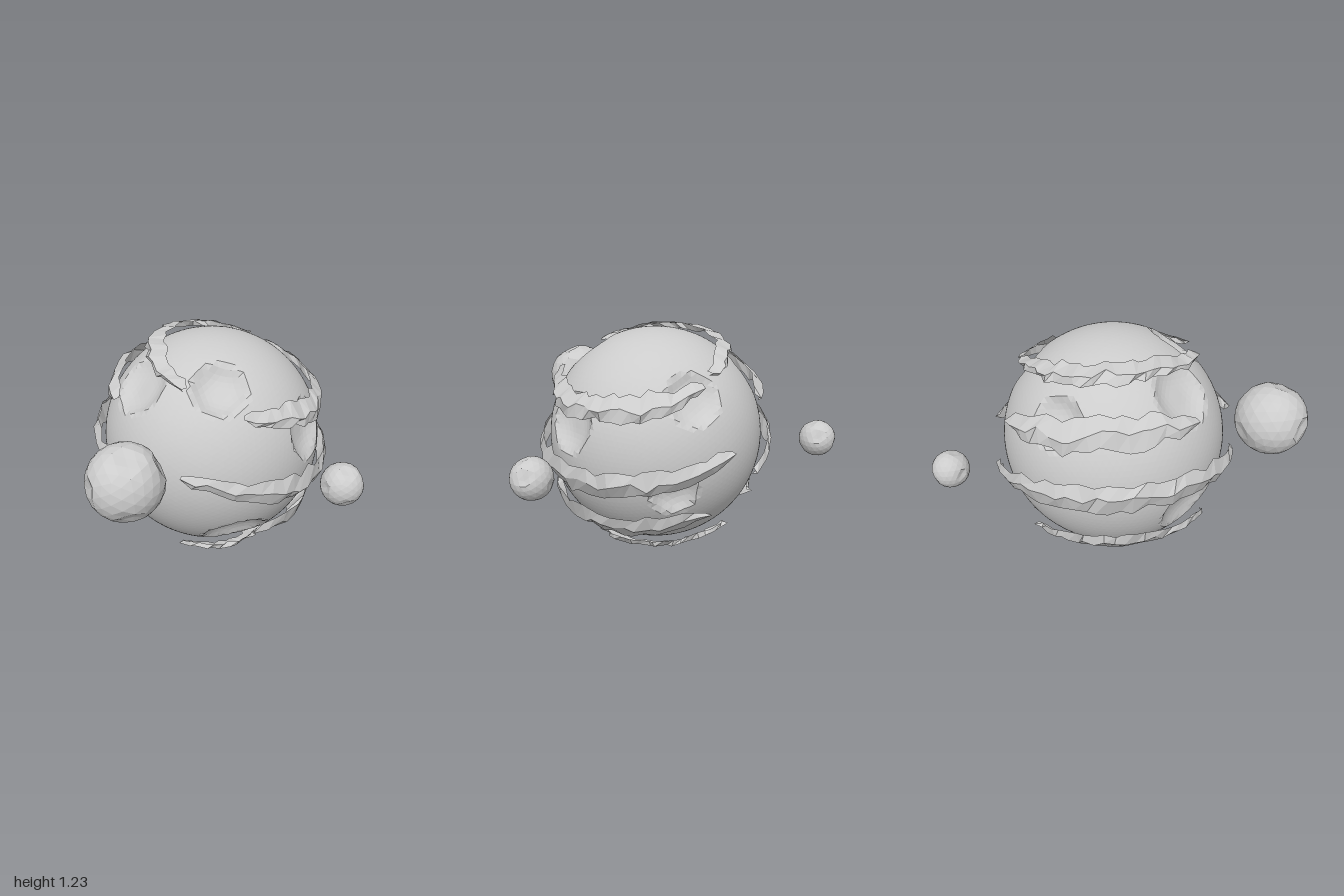
import * as THREE from 'three';

const grey = new THREE.MeshStandardMaterial({ color: 0xcccccc, flatShading: true });
const sheet = new THREE.MeshStandardMaterial({ color: 0xcccccc, flatShading: true, side: THREE.DoubleSide });

// Seeded random numbers, 0..1
function seeded(seed) {
  return () => {
    seed = (seed * 1664525 + 1013904223) % 4294967296;
    return seed / 4294967296;
  };
}

// Faceted ball with bowl craters; each crater is [x, y, z direction, radius, depth]
function crateredBall(name, radius, detail, craters) {
  const geo = new THREE.IcosahedronGeometry(radius, detail);
  const pos = geo.attributes.position;
  const centres = craters.map(([x, y, z]) => new THREE.Vector3(x, y, z).setLength(radius));
  const p = new THREE.Vector3();
  for (let i = 0; i < pos.count; i++) {
    p.fromBufferAttribute(pos, i);
    let dent = 0;
    craters.forEach(([, , , size, depth], k) => {
      const d = p.distanceTo(centres[k]) / size;
      if (d < 1) dent = Math.max(dent, depth * (1 - d * d * d));
    });
    p.setLength(radius - dent);
    pos.setXYZ(i, p.x, p.y, p.z);
  }
  geo.computeVertexNormals();
  const mesh = new THREE.Mesh(geo, grey);
  mesh.name = name;
  return mesh;
}

// Ragged sheet along a line of latitude: three points across, folded outwards
function cloudStrip(height, from, to, width, seed) {
  const rnd = seeded(seed);
  const steps = Math.round((to - from) / 6);
  const verts = [], index = [];
  for (let i = 0; i <= steps; i++) {
    const t = i / steps;
    const half = width * 0.5 * (0.25 + 0.85 * Math.pow(Math.sin(Math.PI * t), 0.6));
    const phi = THREE.MathUtils.degToRad(from + (to - from) * t);
    const drift = (rnd() - 0.5) * 0.025;
    for (let j = -1; j <= 1; j++) {
      const y = height + drift + (j ? j * half * (0.75 + 0.5 * rnd()) : (rnd() - 0.5) * half * 0.6);
      const r = (j ? 0.645 : 0.668) + rnd() * 0.015;
      const a = phi + (rnd() - 0.5) * 0.06;
      const ring = Math.sqrt(r * r - y * y);
      verts.push(ring * Math.cos(a), y, ring * Math.sin(a));
    }
    if (i < steps) {
      for (let j = 0; j < 2; j++) {
        const a = i * 3 + j;
        index.push(a, a + 1, a + 3, a + 1, a + 4, a + 3);
      }
    }
  }
  const geo = new THREE.BufferGeometry();
  geo.setAttribute('position', new THREE.Float32BufferAttribute(verts, 3));
  geo.setIndex(index);
  geo.computeVertexNormals();
  const mesh = new THREE.Mesh(geo, sheet);
  mesh.name = 'cloudStrip';
  return mesh;
}

export function createModel() {
  const model = new THREE.Group();
  model.name = 'planetWithMoons';
  const centre = new THREE.Vector3(-0.115, 0.645, -0.02);

  // Planet
  const planet = crateredBall('planet', 0.613, 22, [
    [0.13, 0.47, 0.36, 0.15, 0.07],
    [-0.3, 0.42, 0.3, 0.17, 0.06],
    [0.57, 0.17, 0.14, 0.17, 0.07],
    [-0.48, -0.16, 0.34, 0.19, 0.07],
    [0.22, -0.41, 0.4, 0.18, 0.07],
    [0.4, -0.15, -0.44, 0.13, 0.06],
    [0.25, 0.33, -0.44, 0.15, 0.06],
    [-0.36, 0.36, -0.34, 0.14, 0.06],
    [-0.12, -0.54, -0.23, 0.16, 0.06],
  ]);
  planet.position.copy(centre);
  model.add(planet);

  // Cloud strips around a tilted axis: height, start and end angle, width
  const clouds = new THREE.Group();
  clouds.name = 'clouds';
  clouds.position.copy(centre);
  clouds.rotation.z = -0.315;
  [
    [0.46, 112, 270, 0.08],
    [0.2, 146, 246, 0.15],
    [0.45, -80, 72, 0.1],
    [0.1, -77, 92, 0.14],
    [-0.12, 100, 270, 0.14],
    [-0.45, 117, 250, 0.12],
    [-0.2, -60, 48, 0.17],
    [-0.48, -80, 81, 0.08],
  ].forEach(([h, from, to, w], i) => clouds.add(cloudStrip(h, from, to, w, 101 + i * 7919)));
  model.add(clouds);

  // Moons: x, y, z, radius, detail
  [
    [-0.345, 0.81, 0.805, 0.196, 3],
    [0.665, 0.537, 0.205, 0.12, 3],
    [-0.4, 0.722, -0.905, 0.096, 3],
  ].forEach(([x, y, z, r, detail]) => {
    const moon = crateredBall('moon', r, detail, [
      [-0.7, 0.1, 0.6, r * 0.3, r * 0.12],
      [0.2, 0.9, 0.3, r * 0.35, r * 0.1],
      [0.3, -0.6, 0.7, r * 0.3, r * 0.1],
      [0.8, 0.3, -0.4, r * 0.35, r * 0.12],
      [-0.3, -0.2, -0.9, r * 0.3, r * 0.1],
    ]);
    moon.position.set(x, y, z);
    model.add(moon);
  });

  return model;
}
